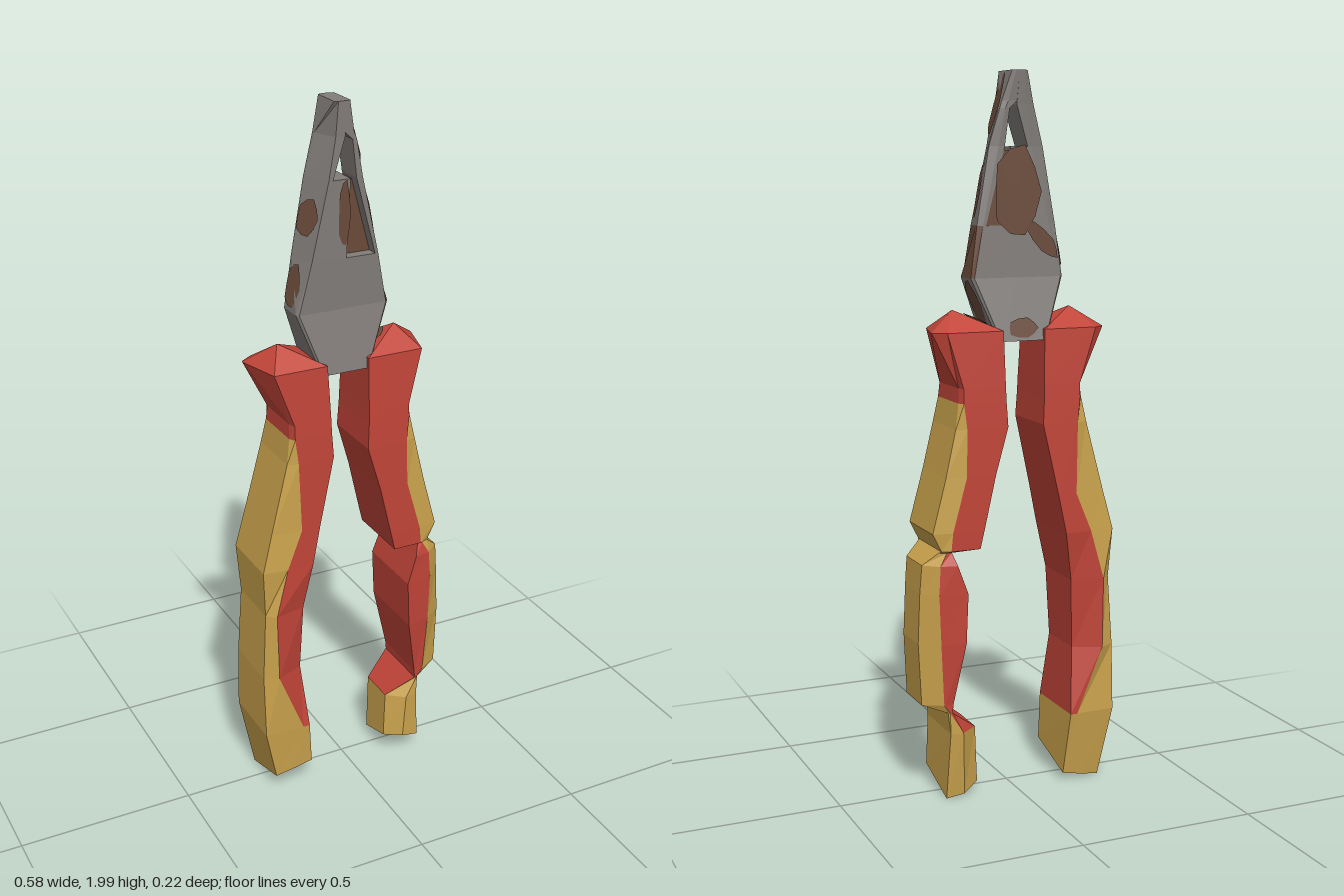
import * as THREE from 'three';

const mat = (name, color, extra = {}) => Object.assign(
  new THREE.MeshStandardMaterial({ color, flatShading: true, ...extra }), { name });

export function createModel() {
  const red = mat('red grip', 0xc04438);
  const yellow = mat('yellow grip', 0xc9a24c);
  const steel = mat('steel', 0x827d7a);
  const rust = mat('rust', 0x6b4b3a, { side: THREE.DoubleSide });
  const root = new THREE.Group();

  // Six-sided ring: outer face (xo, half-width wo), shoulder (xm, w), inner face (xi, wi).
  // Options: zc shifts in z, skew bevels the outer front, slope and tilt slant along z and x.
  const ring = ([y, xo, xm, xi, wo, w, { zc = 0, wi = w, skew = 0, slope = 0, tilt = 0 } = {}]) => {
    const pts = [[xo, wo - skew], [xm, w], [xi, wi], [xi, -wi], [xm, -w], [xo, -wo]]
      .map(([x, z]) => new THREE.Vector3(x, y + slope * z + tilt * Math.abs(x - xo), z + zc));
    return xo > xi ? pts.reverse() : pts;
  };

  // Skins rows from bottom to top; pick(y, edge) chooses the material of each strip
  function loft(name, rows, pick, peak, bottomMat) {
    const rings = rows.map(ring);
    const buckets = new Map();
    const tri = (m, ...pts) => {
      if (!buckets.has(m)) buckets.set(m, []);
      pts.forEach((p) => buckets.get(m).push(p.x, p.y, p.z));
    };
    const centre = (r) => r.reduce((s, p) => s.add(p), new THREE.Vector3()).divideScalar(6);
    const last = rings.length - 1;
    const low = centre(rings[0]);
    const high = peak ? new THREE.Vector3(...peak) : centre(rings[last]);
    for (let e = 0; e < 6; e++) {
      const n = (e + 1) % 6;
      for (let i = 0; i < last; i++) {
        const a = rings[i], b = rings[i + 1];
        const m = pick((rows[i][0] + rows[i + 1][0]) / 2, e);
        tri(m, a[e], a[n], b[n]);
        tri(m, a[e], b[n], b[e]);
      }
      tri(bottomMat || pick(rows[0][0], e), low, rings[0][n], rings[0][e]);
      tri(pick(rows[last][0], e), high, rings[last][e], rings[last][n]);
    }
    const group = new THREE.Group();
    group.name = name;
    for (const [m, pos] of buckets) {
      const g = new THREE.BufferGeometry();
      g.setAttribute('position', new THREE.Float32BufferAttribute(pos, 3));
      g.computeVertexNormals();
      const mesh = new THREE.Mesh(g, m);
      mesh.name = `${name} ${m.name}`;
      group.add(mesh);
    }
    root.add(group);
  }

  // Grips: yellow along the outside and at the foot, red elsewhere
  const isOuter = (e) => e === 0 || e > 3;
  const gripColour = (y, e) => (y < 0.22 || (y < 1.1 && isOuter(e)) ? yellow : red);
  // The left foot is yellow up to its pinch, except for its back and inner ledge
  const leftGripColour = (y, e) =>
    y > 0.2 && y < 0.27 ? (e === 1 || e === 2 ? red : yellow) : gripColour(y, e);

  loft('rightHandle', [
    [0.03, -0.257, -0.2, -0.145, 0.08, 0.085, { zc: 0.01, slope: 0.3, tilt: 0.2 }],
    [0.21, -0.29, -0.175, -0.155, 0.1, 0.105],
    [0.4, -0.29, -0.25, -0.17, 0.09, 0.11, { wi: 0.075 }],
    [0.6, -0.278, -0.253, -0.162, 0.085, 0.108, { wi: 0.085 }],
    [0.74, -0.286, -0.215, -0.138, 0.095, 0.103],
    [0.85, -0.257, -0.17, -0.115, 0.09, 0.1],
    [1.05, -0.205, -0.175, -0.07, 0.085, 0.095],
    [1.12, -0.193, -0.183, -0.074, 0.075, 0.092],
    [1.16, -0.19, -0.183, -0.075, 0.07, 0.09],
    [1.31, -0.268, -0.235, -0.08, 0.055, 0.08, { skew: 0.1 }],
  ], gripColour, [-0.19, 1.365, 0]);

  loft('leftHandle', [
    [0.03, 0.212, 0.16, 0.11, 0.08, 0.085, { zc: 0.01, slope: 0.3, tilt: 0.2, wi: 0.055 }],
    [0.2, 0.206, 0.17, 0.12, 0.09, 0.095, { wi: 0.055 }],
    [0.26, 0.212, 0.207, 0.2, 0.085, 0.09],
    [0.285, 0.28, 0.225, 0.198, 0.06, 0.09],
    [0.46, 0.288, 0.235, 0.166, 0.058, 0.097, { wi: 0.11 }],
    [0.6, 0.282, 0.24, 0.16, 0.058, 0.097, { wi: 0.11 }],
    [0.68, 0.276, 0.235, 0.188, 0.06, 0.095, { wi: 0.105 }],
    [0.715, 0.235, 0.215, 0.2, 0.08, 0.09],
    [0.72, 0.23, 0.205, 0.12, 0.09, 0.1],
    [0.77, 0.255, 0.2, 0.108, 0.09, 0.1],
    [0.92, 0.215, 0.158, 0.073, 0.088, 0.098],
    [1.05, 0.185, 0.155, 0.035, 0.085, 0.095],
    [1.12, 0.173, 0.163, 0.039, 0.075, 0.092],
    [1.16, 0.17, 0.163, 0.04, 0.07, 0.09],
    [1.31, 0.24, 0.205, 0.042, 0.055, 0.08, { skew: 0.1 }],
  ], leftGripColour, [0.16, 1.365, 0]);

  // Jaws: two halves with bevelled sides that narrow to strips around the gap
  const bevel = (zc) => ({ zc, skew: 0.062 });
  loft('rightJaw', [
    [1.28, -0.09, -0.085, -0.015, 0.066, 0.073],
    [1.45, -0.152, -0.145, -0.015, 0.036, 0.043, { zc: 0.003 }],
    [1.59, -0.134, -0.11, -0.01, 0.034, 0.043, bevel(0.008)],
    [1.8, -0.098, -0.062, 0.0, 0.034, 0.042, bevel(0.012)],
    [1.8, -0.098, -0.062, -0.05, 0.034, 0.042, bevel(0.012)],
    [1.91, -0.068, -0.042, -0.015, 0.036, 0.045, bevel(0.008)],
    [2.0, -0.045, -0.035, -0.02, 0.045, 0.05, { zc: 0.005 }],
  ], () => steel, null, rust);
  loft('leftJaw', [
    [1.28, 0.05, 0.045, -0.015, 0.066, 0.073],
    [1.45, 0.118, 0.11, -0.015, 0.036, 0.043, { zc: 0.003 }],
    [1.59, 0.097, 0.083, -0.01, 0.034, 0.043, bevel(0.008)],
    [1.59, 0.097, 0.083, 0.074, 0.034, 0.043, bevel(0.008)],
    [1.8, 0.06, 0.035, 0.017, 0.034, 0.042, bevel(0.012)],
    [1.9, 0.031, 0.018, 0.006, 0.036, 0.045, bevel(0.008)],
    [1.92, 0.025, 0.01, -0.016, 0.036, 0.045, bevel(0.008)],
    [2.0, 0.0, -0.01, -0.02, 0.045, 0.05, { zc: 0.005 }],
  ], (y, e) => (y > 1.45 && y < 1.58 && isOuter(e) ? rust : steel), null, rust);

  // Sunken gripping face beside the left jaw
  loft('jawRecess', [
    [1.57, 0.08, 0.075, -0.012, 0.026, 0.026, { zc: -0.008 }],
    [1.79, 0.03, 0.028, -0.012, 0.024, 0.024, { zc: -0.005 }],
  ], () => rust);

  // Irregular thin rust stains: centre, then half-axes across and along
  const wobble = [1, 0.9, 1.05, 0.95, 1, 0.88, 1.05, 0.95, 0.98, 0.9];
  const stains = [
    ['backStain', [-0.016, 1.68, -0.039], [-0.072, 0, 0], [0, 0.125, 0.003]],
    ['backStreak', [-0.09, 1.55, -0.042], [-0.045, -0.05, 0], [-0.018, 0.016, 0]],
    ['lowerBackStain', [-0.02, 1.315, -0.07], [-0.045, 0, 0], [0, 0.028, 0.005]],
    ['frontStain', [-0.018, 1.71, 0.056], [0.018, 0, 0], [0, 0.09, 0.002]],
    ['leftTipStain', [0.027, 1.91, 0.006], [0.006, 0, -0.035], [-0.024, 0.085, 0]],
    ['leftUpperStain', [0.076, 1.68, 0.014], [0.009, 0, -0.033], [-0.014, 0.075, 0]],
    ['leftLowerStain', [0.09, 1.375, 0], [0, 0, -0.04], [0.03, 0.07, 0]],
    ['rightStain', [-0.144, 1.52, 0.005], [0.006, 0, 0.03], [0.011, 0.06, 0]],
    ['rightUpperStain', [-0.105, 1.7, 0.014], [0.015, 0, 0.033], [0.01, 0.05, 0]],
    ['gripTopStain', [0.095, 1.339, -0.008], [0.037, 0.0172, 0], [0, 0, -0.034]],
  ];
  for (const [name, c, u, v] of stains) {
    const pos = [];
    const at = (i) => {
      const t = (i % 10) * Math.PI / 5, r = wobble[i % 10];
      return c.map((k, j) => k + r * (u[j] * Math.cos(t) + v[j] * Math.sin(t)));
    };
    for (let i = 0; i < 10; i++) pos.push(...c, ...at(i), ...at(i + 1));
    const g = new THREE.BufferGeometry();
    g.setAttribute('position', new THREE.Float32BufferAttribute(pos, 3));
    g.computeVertexNormals();
    const mesh = new THREE.Mesh(g, rust);
    mesh.name = name;
    root.add(mesh);
  }

  root.name = 'pliers';
  return root;
}
